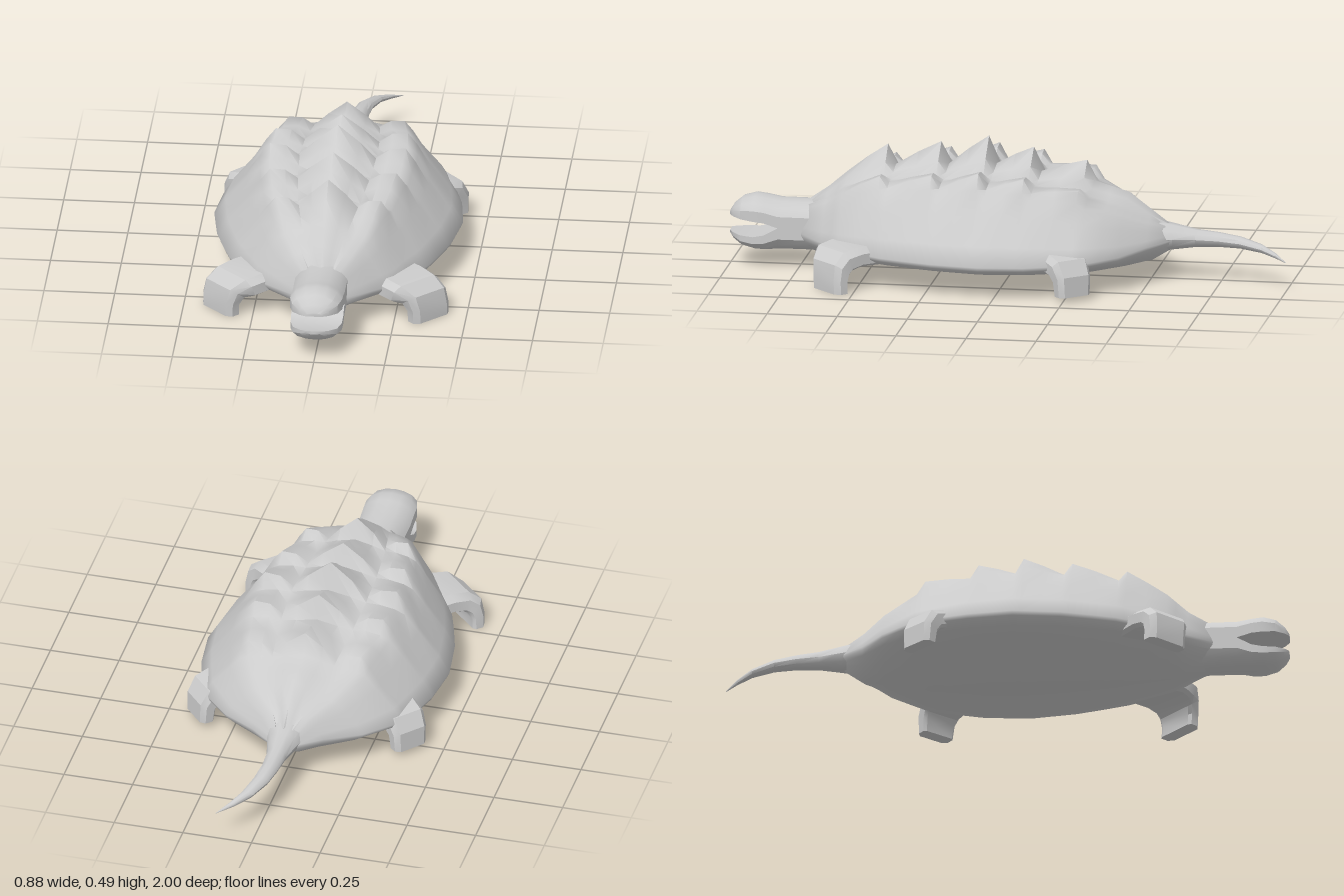
import * as THREE from 'three';
import { toCreasedNormals } from 'three/addons/utils/BufferGeometryUtils.js';

const material = new THREE.MeshStandardMaterial({ color: 0xcccccc });

// Skin a closed surface over a list of rings of [x, y, z] points, capped at both ends.
function loft(name, rings, crease) {
  const n = rings[0].length, pts = rings.flat(), tris = [];
  for (let i = 0; i < rings.length - 1; i++) {
    for (let j = 0; j < n; j++) {
      const a = i * n + j, b = i * n + (j + 1) % n;
      tris.push([a, b, b + n], [a, b + n, a + n]);
    }
  }
  const last = (rings.length - 1) * n;
  const middle = ring => [0, 1, 2].map(k => ring.reduce((s, p) => s + p[k], 0) / n);
  const c0 = pts.push(middle(rings[0])) - 1;
  const c1 = pts.push(middle(rings[rings.length - 1])) - 1;
  for (let j = 0; j < n; j++) {
    const k = (j + 1) % n;
    tris.push([c0, k, j], [c1, last + j, last + k]);
  }
  // Turn the faces outward if the enclosed volume comes out negative
  const v = pts.map(p => new THREE.Vector3(...p));
  const volume = tris.reduce((s, [a, b, c]) => s + v[a].dot(v[b].clone().cross(v[c])), 0);
  if (volume < 0) tris.forEach(t => t.reverse());
  const geo = new THREE.BufferGeometry();
  geo.setAttribute('position', new THREE.Float32BufferAttribute(pts.flat(), 3));
  geo.setIndex(tris.flat());
  const mesh = new THREE.Mesh(toCreasedNormals(geo, crease), material);
  mesh.name = name;
  return mesh;
}

// Complete a half outline (bottom centre to top centre) with its mirror image.
const mirrorRing = (half, z) => [
  ...half.map(([x, y]) => [x, y, z]),
  ...half.slice(1, -1).reverse().map(([x, y]) => [-x, y, z]),
];

// Body stations: z, half width, crest height, side ridge height, belly, rim height
const BODY = [
  [0.74, 0.088, 0.228, 0.21, 0.065, 0.135],
  [0.65, 0.18, 0.29, 0.25, 0.045, 0.125],
  [0.58, 0.258, 0.35, 0.30, 0.038, 0.12],
  [0.40, 0.36, 0.38, 0.34, 0.025, 0.12],
  [0.22, 0.415, 0.388, 0.35, 0.018, 0.12],
  [0.05, 0.44, 0.395, 0.355, 0.013, 0.12],
  [-0.12, 0.42, 0.372, 0.345, 0.018, 0.12],
  [-0.30, 0.362, 0.345, 0.305, 0.03, 0.125],
  [-0.42, 0.25, 0.31, 0.255, 0.05, 0.13],
  [-0.50, 0.13, 0.25, 0.215, 0.065, 0.14],
  [-0.58, 0.045, 0.19, 0.175, 0.115, 0.15],
];
// Shell scale rows, each rising backward to a peak: z, height
const TEETH = [[0.44, 0.077], [0.25, 0.08], [0.08, 0.1], [-0.08, 0.082], [-0.27, 0.07]];

function bodyAt(z) {
  let i = 0;
  while (i < BODY.length - 2 && z < BODY[i + 1][0]) i++;
  const t = (BODY[i][0] - z) / (BODY[i][0] - BODY[i + 1][0]);
  return BODY[i].map((v, k) => v + (BODY[i + 1][k] - v) * t);
}

function bodyRing(z, lift) {
  const [, w, crest, ridge, belly, rim] = bodyAt(z);
  const side = f => rim + (ridge - rim) * f;
  const under = f => belly + (rim - belly) * f;
  return mirrorRing([
    [0, belly],
    [0.33 * w, under(0.14)],
    [0.62 * w, under(0.4)],
    [0.88 * w, under(0.66)],
    [0.985 * w, under(0.86)],
    [w, rim],
    [0.91 * w, side(0.28)],
    [0.74 * w, side(0.67)],
    [0.63 * w, side(0.93) + 0.25 * lift],
    [0.55 * w, ridge + 0.58 * lift],
    [0.42 * w, ridge + 0.01 + 0.42 * lift],
    [0.31 * w, (ridge + crest) / 2 - 0.01 + 0.05 * lift],
    [0.18 * w, crest - 0.015 + 0.5 * lift],
    [0, crest + lift],
  ], z);
}

function makeShell() {
  const rings = [0.74, 0.65, 0.61].map(z => bodyRing(z, 0));
  let start = 0.58;
  for (const [peak, height] of TEETH) {
    rings.push(bodyRing(start, 0));
    rings.push(bodyRing((start + peak) / 2, height * 0.55));
    rings.push(bodyRing(peak, height));
    start = peak - 0.028;
  }
  for (const z of [start, -0.36, -0.42, -0.5, -0.58]) rings.push(bodyRing(z, 0));
  return loft('shellBody', rings, 1.05);
}

// One half of the head: a flat mouth side and a domed outer side.
// Rows: z, half width, dome height, mouth height
function makeJaw(name, rows) {
  return loft(name, rows.map(([z, w, dome, flat]) => {
    const y = f => flat + (dome - flat) * f;
    return mirrorRing([[0, flat], [w, flat], [w, y(0.45)], [0.8 * w, y(0.74)], [0.42 * w, y(0.94)], [0, dome]], z);
  }), 0.6);
}

// Curved tail. Rows: x, y, z, x radius, y radius
function makeTail() {
  const rows = [
    [0, 0.157, -0.5, 0.08, 0.06], [0, 0.155, -0.58, 0.055, 0.046], [0, 0.152, -0.66, 0.036, 0.032],
    [0.003, 0.15, -0.74, 0.031, 0.026], [0.015, 0.145, -0.82, 0.028, 0.021],
    [0.045, 0.133, -0.9, 0.021, 0.015], [0.085, 0.119, -0.955, 0.012, 0.009], [0.13, 0.105, -1, 0.001, 0.001],
  ];
  return loft('tail', rows.map(([x, y, z, rx, ry]) => Array.from({ length: 10 }, (_, j) => {
    const a = j * Math.PI / 5;
    return [x + rx * Math.cos(a), y + ry * Math.sin(a), z];
  })), 0.7);
}

// Broad flipper-like leg arching outward along [dx, dz] and down to a flat foot.
// Rows: x, y, z, downward pitch, half width, half thickness
function makeLeg(name, [dx, dz], rows, side) {
  const outline = [[1, -0.7], [1, 0.4], [0.75, 1], [-0.75, 1], [-1, 0.4], [-1, -0.7], [-0.85, -1], [0.85, -1]];
  return loft(name, rows.map(([x, y, z, pitch, w, h]) => outline.map(([a, b]) => {
    const out = b * h * Math.sin(pitch), up = b * h * Math.cos(pitch);
    return [side * (x + dx * out - dz * a * w), y + up, z + dz * out + dx * a * w];
  })), 0.5);
}

const FRONT_OUT = [0.707, 0.707], HIND_OUT = [0.75, -0.66];
const FRONT_LEG = [
  [0.219, 0.115, 0.488, 0, 0.1, 0.034],
  [0.274, 0.118, 0.546, 0, 0.105, 0.034],
  [0.318, 0.109, 0.58, 0.4, 0.1, 0.036],
  [0.354, 0.085, 0.588, 0.95, 0.086, 0.034],
  [0.368, 0.045, 0.589, 1.4, 0.081, 0.027],
  [0.369, 0.002, 0.587, Math.PI / 2, 0.081, 0.026],
];
const HIND_LEG = [
  [0.28, 0.125, -0.19, 0, 0.075, 0.034],
  [0.328, 0.129, -0.234, 0.1, 0.078, 0.034],
  [0.36, 0.116, -0.262, 0.55, 0.074, 0.035],
  [0.377, 0.08, -0.277, 1.15, 0.068, 0.03],
  [0.38, 0.02, -0.28, Math.PI / 2, 0.064, 0.025],
];

export function createModel() {
  const model = new THREE.Group();
  model.name = 'turtle';
  model.add(makeShell(), makeTail());

  // Head and neck, split by the open mouth
  model.add(makeJaw('upperHead', [
    [0.68, 0.092, 0.24, 0.15], [0.82, 0.092, 0.241, 0.15], [0.87, 0.092, 0.25, 0.166], [0.91, 0.092, 0.255, 0.17],
    [0.955, 0.08, 0.243, 0.175], [0.985, 0.052, 0.218, 0.178], [1, 0.028, 0.194, 0.18],
  ]));
  model.add(makeJaw('lowerJaw', [
    [0.68, 0.092, 0.06, 0.15], [0.82, 0.092, 0.06, 0.15], [0.87, 0.092, 0.056, 0.122], [0.91, 0.09, 0.058, 0.114],
    [0.955, 0.078, 0.07, 0.116], [0.985, 0.05, 0.09, 0.12], [1, 0.026, 0.11, 0.123],
  ]));

  for (const [label, side] of [['left', 1], ['right', -1]]) {
    model.add(makeLeg(label + 'FrontLeg', FRONT_OUT, FRONT_LEG, side));
    model.add(makeLeg(label + 'HindLeg', HIND_OUT, HIND_LEG, side));
  }
  return model;
}
